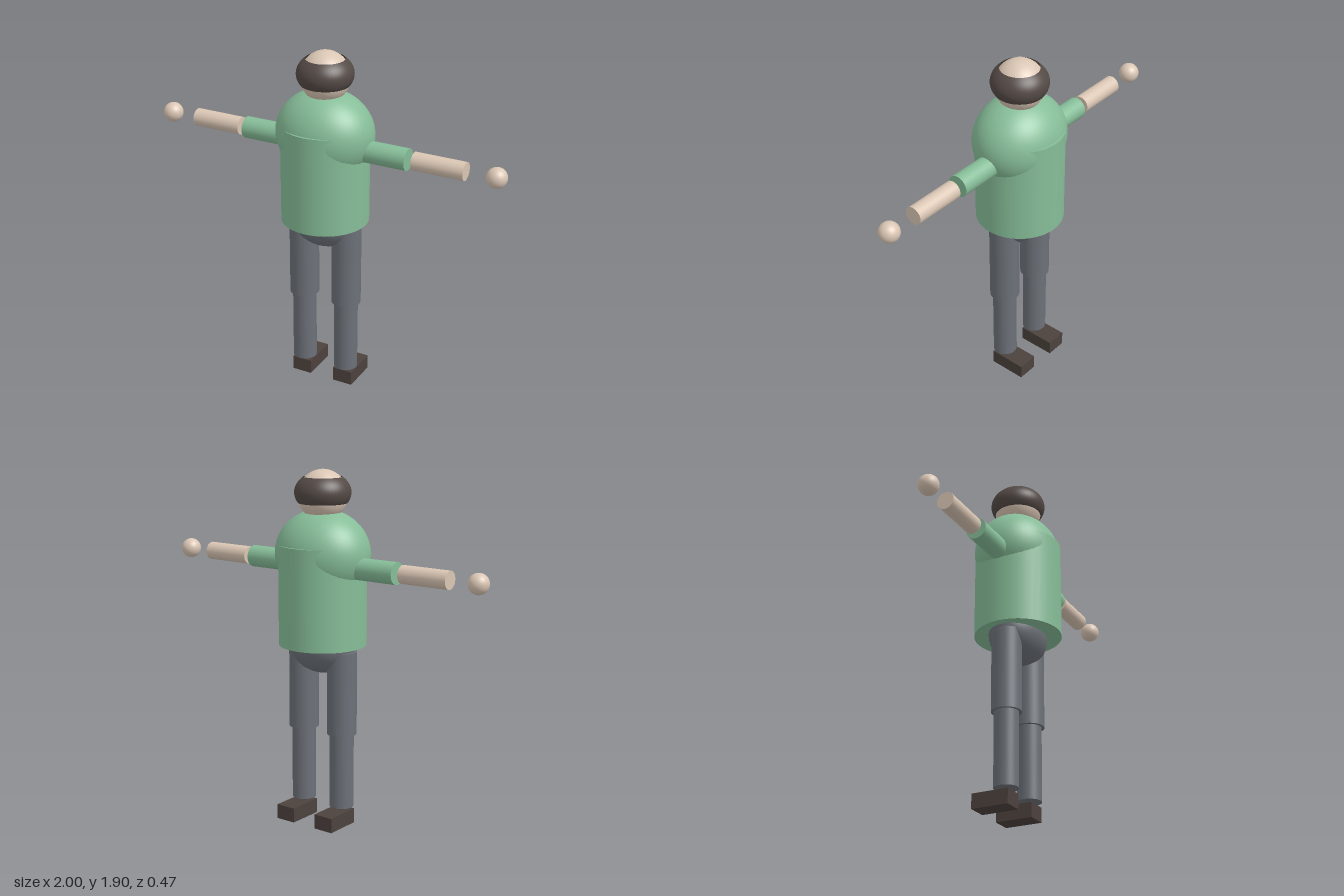
import * as THREE from 'three';

export function createModel() {
  const model = new THREE.Group();
  model.name = 'figure';

  const paint = (name, color) => {
    const m = new THREE.MeshStandardMaterial({ color });
    m.name = name;
    return m;
  };
  const shirt = paint('shirt green', 0x86bd98);
  const skin = paint('skin', 0xdac6b4);
  const trousers = paint('trouser grey', 0x6c7178);
  const hair = paint('hair brown', 0x544a46);
  const leather = paint('shoe brown', 0x4c423e);

  const add = (name, geometry, material, x = 0, y = 0, z = 0) => {
    const mesh = new THREE.Mesh(geometry, material);
    mesh.name = name;
    mesh.position.set(x, y, z);
    model.add(mesh);
    return mesh;
  };
  const ellipsoid = (rx, ry, rz) => new THREE.SphereGeometry(1, 48, 32).scale(rx, ry, rz);
  const upright = (r, y0, y1) =>
    new THREE.CylinderGeometry(r, r, y1 - y0, 40).translate(0, (y0 + y1) / 2, 0);
  const sideways = (r, length) =>
    new THREE.CylinderGeometry(r, r, length, 32).rotateZ(Math.PI / 2);

  // Trunk
  add('torso', upright(0.234, 0.98, 1.515), shirt);
  add('shoulders', ellipsoid(0.267, 0.235, 0.227), shirt, 0, 1.465);
  add('pelvis', ellipsoid(0.19, 0.153, 0.146), trousers, 0, 0.978);

  // Head with a rounded band of hair, open at the crown
  add('head', ellipsoid(0.131, 0.135, 0.131), skin, 0, 1.77);
  const profile = [new THREE.Vector2(0.1, 1.73)];
  for (let i = 0; i <= 20; i++) {
    const y = 1.73 + (0.135 * i) / 20;
    profile.push(new THREE.Vector2(0.149 * Math.sqrt(1 - ((y - 1.785) / 0.11) ** 2), y));
  }
  const band = add('hair', new THREE.LatheGeometry(profile, 48), hair);
  band.material.side = THREE.DoubleSide;

  // Arms and legs, mirrored
  for (const [side, s] of [['left', 1], ['right', -1]]) {
    add(side + 'UpperArm', sideways(0.058, 0.275), shirt, s * 0.3355, 1.407);
    add(side + 'Forearm', sideways(0.048, 0.28), skin, s * 0.645, 1.407);
    add(side + 'Hand', ellipsoid(0.054, 0.054, 0.054), skin, s * 0.946, 1.407);
    add(side + 'Thigh', upright(0.08, 0.505, 0.957), trousers, s * 0.128);
    add(side + 'Shin', upright(0.065, 0.098, 0.51), trousers, s * 0.128);
    add(side + 'Shoe', new THREE.BoxGeometry(0.114, 0.08, 0.205), leather, s * 0.128, 0.04, -0.063);
  }
  return model;
}
